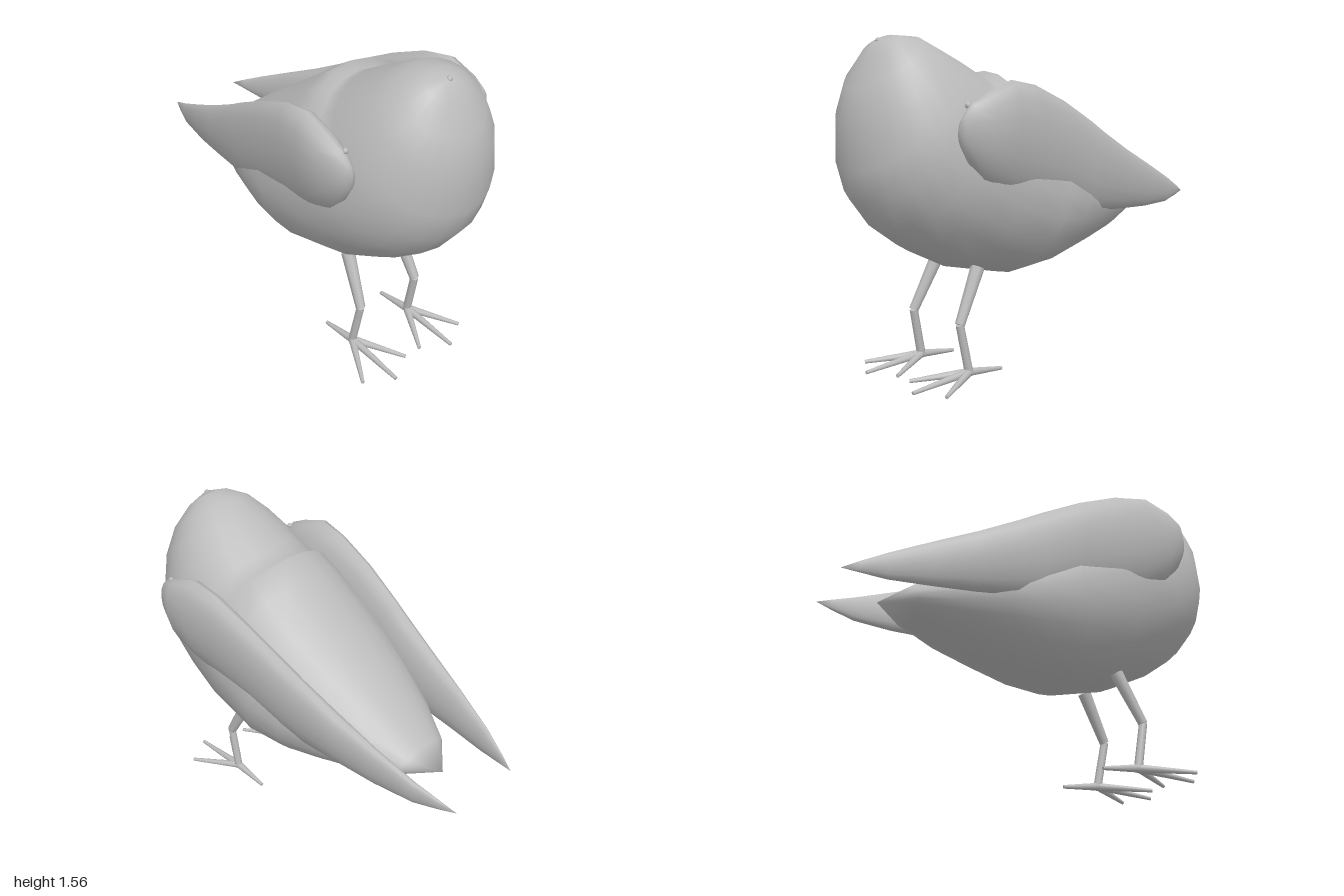
import * as THREE from 'three';

const plumage = new THREE.MeshStandardMaterial({ color: 0xbcbcbc });
plumage.name = 'plain grey';

const V = (x, y, z) => new THREE.Vector3(x, y, z);

// Skins closed rings that run from front to back, with a point at each end.
function loft(rings, nose, tail, flip) {
  const n = rings[0].length, pos = [], index = [];
  const tri = (a, b, c) => (flip ? index.push(a, c, b) : index.push(a, b, c));
  for (const p of [...rings.flat(), nose, tail]) pos.push(p.x, p.y, p.z);
  const first = rings.length * n, last = first + 1, end = (rings.length - 1) * n;
  for (let j = 0; j < n; j++) {
    const k = (j + 1) % n;
    tri(first, j, k);
    for (let i = 0; i < rings.length - 1; i++) {
      const a = i * n + j, b = i * n + k;
      tri(a, a + n, b);
      tri(b, a + n, b + n);
    }
    tri(last, end + k, end + j);
  }
  const g = new THREE.BufferGeometry();
  g.setAttribute('position', new THREE.Float32BufferAttribute(pos, 3));
  g.setIndex(index);
  g.computeVertexNormals();
  return g;
}

function ring(n, at) {
  return Array.from({ length: n }, (_, j) => {
    const a = (j / n) * Math.PI * 2;
    return at(Math.cos(a), Math.sin(a));
  });
}

function add(parent, name, geometry) {
  const m = new THREE.Mesh(geometry, plumage);
  m.name = name;
  parent.add(m);
  return m;
}

// Tapered rod between two points.
function rod(parent, name, a, b, ra, rb) {
  const m = add(parent, name, new THREE.CylinderGeometry(rb, ra, a.distanceTo(b), 8));
  m.position.copy(a).lerp(b, 0.5);
  m.quaternion.setFromUnitVectors(V(0, 1, 0), b.clone().sub(a).normalize());
}

function nub(parent, name, p) {
  add(parent, name, new THREE.SphereGeometry(0.014, 8, 6)).position.copy(p);
}

// Tilted body sections: top z, top y, bottom z, bottom y, half width
const BODY = [
  [0.77, 1.56, 0.89, 1.46, 0.11],
  [0.66, 1.555, 0.965, 1.33, 0.205],
  [0.55, 1.5, 0.998, 1.18, 0.285],
  [0.45, 1.45, 0.995, 0.98, 0.345],
  [0.36, 1.4, 0.95, 0.84, 0.38],
  [0.29, 1.365, 0.85, 0.71, 0.4],
  [0.25, 1.4, 0.7, 0.6, 0.418],
  [0.15, 1.34, 0.5, 0.5, 0.43],
  [0, 1.23, 0.2, 0.43, 0.425],
  [-0.15, 1.13, 0, 0.45, 0.39],
  [-0.3, 1.03, -0.2, 0.5, 0.335],
  [-0.5, 0.89, -0.4, 0.56, 0.255],
  [-0.65, 0.78, -0.6, 0.635, 0.155],
];

// Upright wing sections: z, top, bottom, outer x, inner x
const WING = [
  [0.695, 1.22, 1.1, 0.42, 0.365],
  [0.66, 1.28, 1.03, 0.455, 0.345],
  [0.58, 1.32, 0.94, 0.485, 0.305],
  [0.45, 1.37, 0.88, 0.485, 0.295],
  [0.3, 1.345, 0.85, 0.465, 0.3],
  [0.1, 1.265, 0.81, 0.445, 0.295],
  [-0.1, 1.165, 0.75, 0.415, 0.28],
  [-0.2, 1.11, 0.725, 0.4, 0.27],
  [-0.4, 1.01, 0.71, 0.365, 0.25],
  [-0.6, 0.92, 0.7, 0.32, 0.245],
  [-0.8, 0.83, 0.7, 0.27, 0.225],
  [-0.92, 0.775, 0.72, 0.225, 0.205],
];

function wing(s) {
  const rings = WING.map(([z, top, bot, out, inn]) => ring(16, (c, t) => V(
    s * ((out + inn) / 2 + c * (out - inn) / 2 + t * 0.15 * (out - inn)),
    (top + bot) / 2 + t * (top - bot) / 2,
    z)));
  return loft(rings, V(s * 0.39, 1.17, 0.71), V(s * 0.19, 0.735, -1), s < 0);
}

function leg(s) {
  const g = new THREE.Group();
  const hip = V(s * 0.155, 0.51, 0.425), knee = V(s * 0.178, 0.265, 0.55);
  const ankle = V(s * 0.185, 0.035, 0.505);
  rod(g, 'thigh', hip, knee, 0.034, 0.024);
  rod(g, 'shin', knee, ankle, 0.02, 0.021);
  add(g, 'ankle', new THREE.SphereGeometry(0.022, 8, 6)).position.copy(ankle);
  // Three toes forward, one back
  for (const [dx, z] of [[0, 0.82], [0.138, 0.74], [-0.138, 0.74], [0, 0.31]])
    rod(g, 'toe', ankle, V(s * 0.185 + dx, 0.011, z), 0.02, 0.009);
  return g;
}

export function createModel() {
  const bird = new THREE.Group();
  bird.name = 'bird';

  // Head and body in one skin, with a raised rim behind the neck
  const rings = BODY.map(([tz, ty, bz, by, w]) => ring(24, (c, t) =>
    V(w * c, (ty + by) / 2 + t * (ty - by) / 2, (tz + bz) / 2 + t * (tz - bz) / 2)));
  add(bird, 'body', loft(rings, V(0, 1.54, 0.842), V(0, 0.7, -0.765)));
  nub(bird, 'headTip', V(0, 1.535, 0.835));

  for (const [s, side] of [[1, 'left'], [-1, 'right']]) {
    add(bird, side + 'Wing', wing(s));
    nub(bird, side + 'ShoulderTip', V(s * 0.39, 1.268, 0.66));
    const l = leg(s);
    l.name = side + 'Leg';
    bird.add(l);
  }
  return bird;
}
